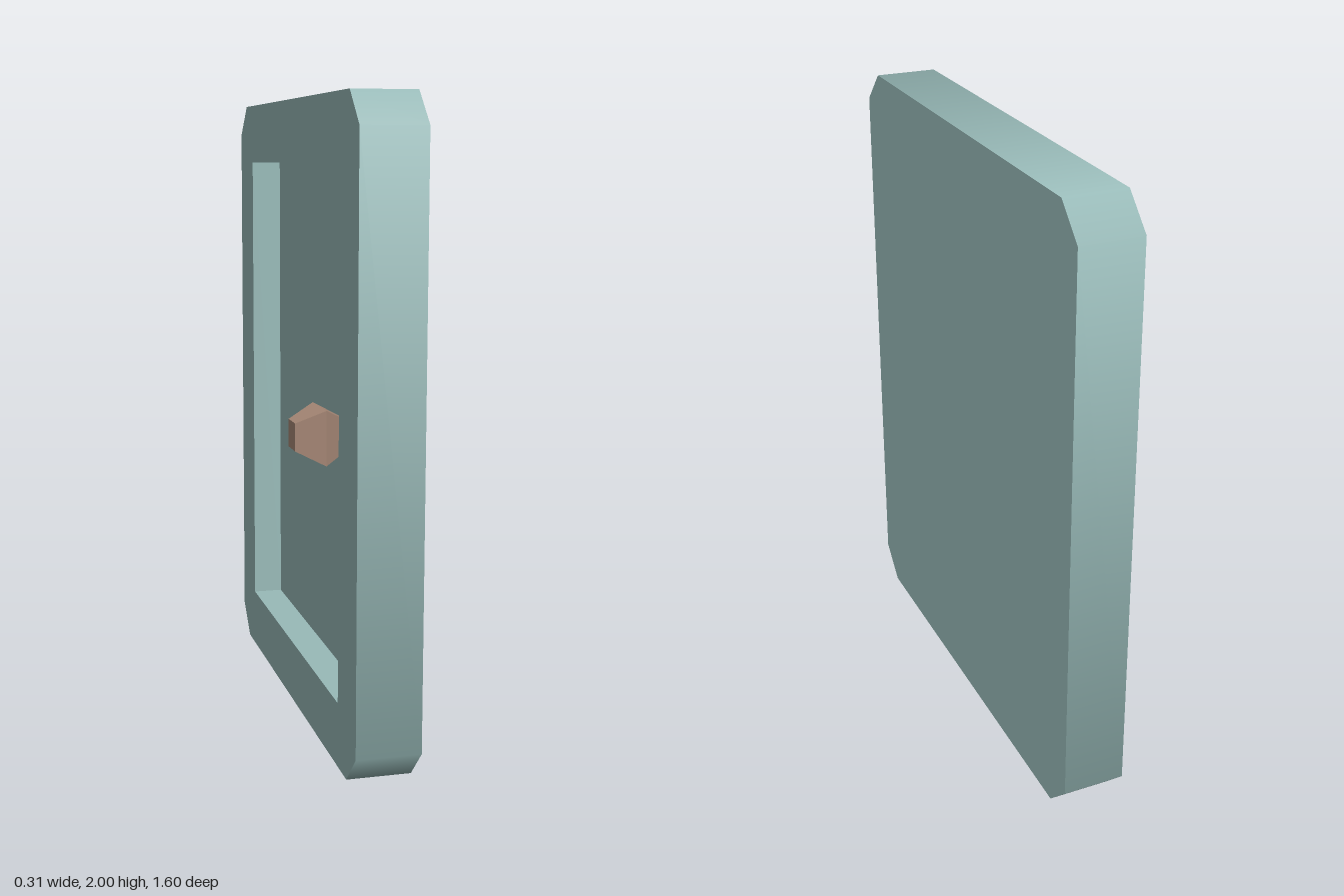
import * as THREE from 'three';

const HALF_W = 0.8, HEIGHT = 2, CHAMFER = 0.1, BORDER = 0.2;
// Depths along the door's own z, which is turned to face -x at the end
const FRONT = 0.045, FLOOR = -0.055, BACK = -0.155;

// Wall swept along a closed loop; counterclockwise loops face out, clockwise face in
function band(points, z0, z1, smooth) {
  const n = points.length;
  const edgeNormal = (i) => {
    const a = points[(i + n) % n], b = points[(i + 1) % n];
    return new THREE.Vector3(b.y - a.y, a.x - b.x, 0).normalize();
  };
  const position = [], normal = [];
  for (let i = 0; i < n; i++) {
    const a = points[i], b = points[(i + 1) % n];
    const flat = edgeNormal(i);
    const na = smooth ? edgeNormal(i - 1).add(flat).normalize() : flat;
    const nb = smooth ? edgeNormal(i + 1).add(flat).normalize() : flat;
    const quad = [[a, z0, na], [b, z0, nb], [b, z1, nb], [a, z0, na], [b, z1, nb], [a, z1, na]];
    for (const [p, z, nn] of quad) {
      position.push(p.x, p.y, z);
      normal.push(nn.x, nn.y, nn.z);
    }
  }
  const geometry = new THREE.BufferGeometry();
  geometry.setAttribute('position', new THREE.Float32BufferAttribute(position, 3));
  geometry.setAttribute('normal', new THREE.Float32BufferAttribute(normal, 3));
  return geometry;
}

export function createModel() {
  const model = new THREE.Group();
  model.name = 'door';
  const teal = new THREE.MeshStandardMaterial({ color: 0x99bbb9 });
  teal.name = 'pale teal';
  const brown = new THREE.MeshStandardMaterial({ color: 0xa78876 });
  brown.name = 'dusty brown';

  const add = (name, geometry, material) => {
    const mesh = new THREE.Mesh(geometry, material);
    mesh.name = name;
    model.add(mesh);
    return mesh;
  };
  const loop = (pairs) => pairs.map(([x, y]) => new THREE.Vector2(x, y));

  // Outline with cut corners, and the rectangular recess
  const w = HALF_W, c = CHAMFER, h = HEIGHT, r = HALF_W - BORDER;
  const outline = loop([
    [-w + c, 0], [w - c, 0], [w, c], [w, h - c],
    [w - c, h], [-w + c, h], [-w, h - c], [-w, c],
  ]);
  const opening = loop([[-r, BORDER], [-r, h - BORDER], [r, h - BORDER], [r, BORDER]]);

  // Door slab: border face, softly shaded rim, plain back
  const border = new THREE.Shape(outline);
  border.holes.push(new THREE.Path(opening));
  add('borderFace', new THREE.ShapeGeometry(border).translate(0, 0, FRONT), teal);
  add('rim', band(outline, BACK, FRONT, true), teal);
  add('backFace', new THREE.ShapeGeometry(new THREE.Shape(outline))
    .rotateY(Math.PI).translate(0, 0, BACK), teal);

  // Recessed panel
  add('recessWalls', band(opening, FLOOR, FRONT, false), teal);
  add('recessPanel', new THREE.ShapeGeometry(new THREE.Shape(opening)).translate(0, 0, FLOOR), teal);

  // Square-section knob on a short stem: [half width, depth]
  const profile = loop([
    [0.042, FLOOR], [0.042, -0.008], [0.083, 0.07], [0.042, 0.155], [0, 0.155],
  ].map(([half, z]) => [half * Math.SQRT2, z]));
  const knob = new THREE.LatheGeometry(profile, 4, Math.PI / 4).rotateX(Math.PI / 2).toNonIndexed();
  knob.computeVertexNormals();
  add('knob', knob, brown).position.set(0.472, 1, 0);

  // Turn the recessed side towards -x
  model.rotation.y = -Math.PI / 2;
  const root = new THREE.Group();
  root.name = 'cabinetDoor';
  root.add(model);
  return root;
}
